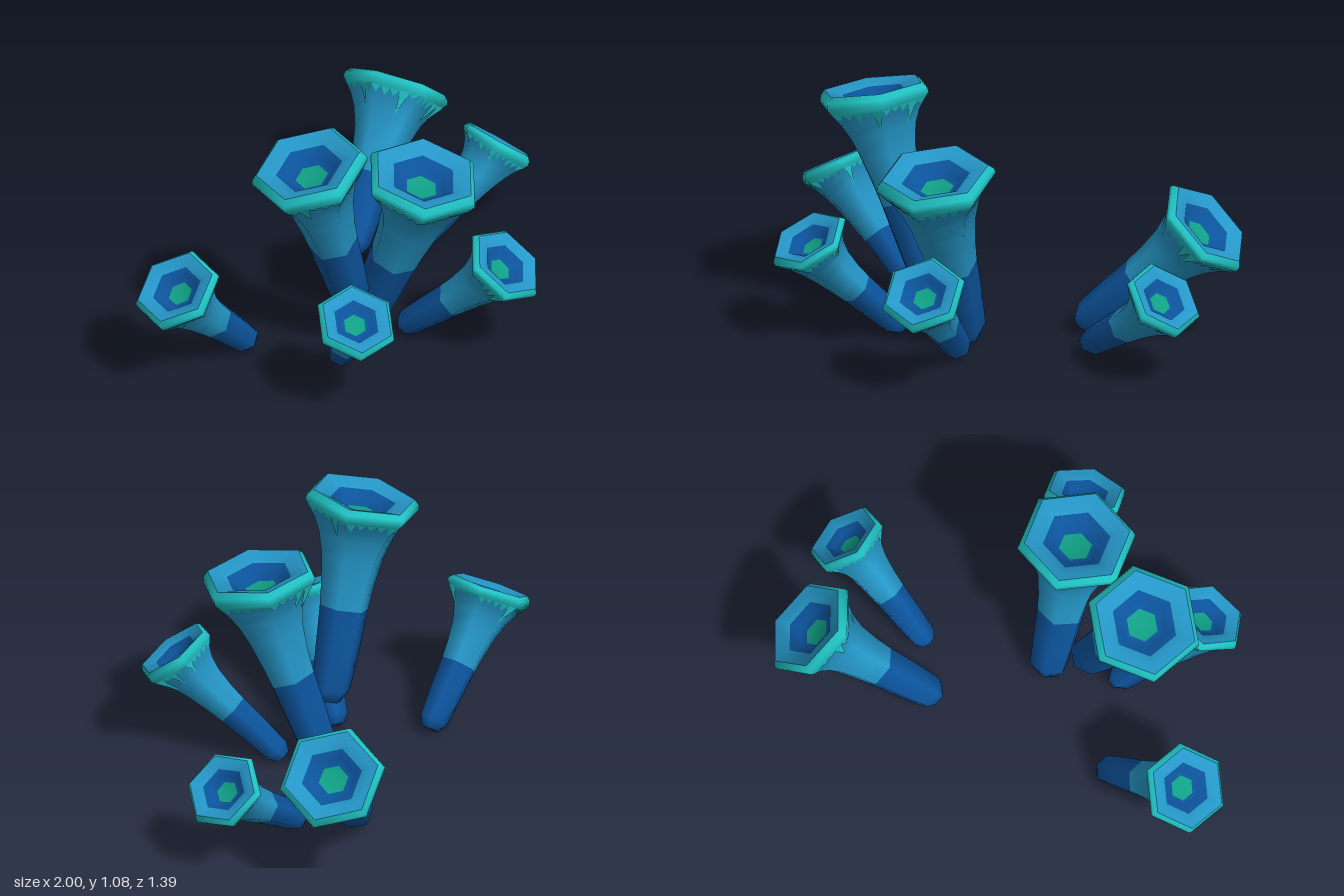
import * as THREE from 'three';

const SIDES = 6;
const paint = (name, hex) => {
  const m = new THREE.MeshStandardMaterial({ color: hex });
  m.name = name;
  return m;
};

// Colour bands with profile points: [fraction along the stalk, radius as a fraction of the rim]
const FLARE = [[0.45, 0.42], [0.56, 0.46], [0.7, 0.54], [0.8, 0.65], [0.87, 0.78], [0.92, 0.92]];
const STALK = [
  ['deepBlue', [[0, 0], [0, 0.2], [0.06, 0.33], [0.25, 0.38], [0.45, 0.42]]],
  ['blue', FLARE],
  ['teal', [[0.92, 0.92], [0.95, 1], [0.975, 0.98], [1, 0.89]]],
];
const MOUTH = [
  ['blue', [[1, 0.89], [0.99, 0.75], [0.972, 0.57]]],
  ['deepBlue', [[0.972, 0.57], [0.935, 0.42], [0.915, 0.28]]],
  ['green', [[0.915, 0.28], [0.915, 0]]],
];

// base point, mouth centre, mouth direction, rim radius, corner angle in degrees
const TUBES = [
  ['tallTube', [-0.17, 0.21, 0.025], [-0.455, 1.025, 0.02], [-0.24, 0.96, -0.1], 0.24, -11],
  ['middleTube', [-0.03, 0.015, -0.03], [0, 0.835, 0.257], [0, 0.98, 0.18], 0.243, 20],
  ['farRightTube', [-0.44, 0.025, -0.29], [-0.86, 0.49, -0.338], [-0.5, 0.86, -0.08], 0.183, -10],
  ['frontRightTube', [-0.29, 0.025, 0.055], [-0.553, 0.46, 0.352], [-0.22, 0.87, 0.42], 0.17, 8],
  ['frontTube', [0.03, 0.025, 0.125], [0.143, 0.46, 0.57], [0.15, 0.8, 0.58], 0.175, 18],
  ['backLeftTube', [0.295, 0.035, -0.36], [0.805, 0.525, -0.52], [0.66, 0.73, -0.17], 0.218, -10],
  ['farLeftTube', [0.44, 0.035, -0.18], [0.895, 0.385, -0.07], [0.65, 0.74, 0.1], 0.168, -30],
];

// Returns ring(s, r): the six corners of a cross-section on the bent axis
function makeRings(base, mouth, dir, radius, degrees) {
  const a = new THREE.Vector3(...base), m = new THREE.Vector3(...mouth);
  const n = new THREE.Vector3(...dir).normalize();
  const axis = new THREE.CubicBezierCurve3(
    a, a.clone().lerp(m, 0.4), m.clone().addScaledVector(n, -0.3 * a.distanceTo(m)), m);
  return (s, r) => {
    const p = axis.getPointAt(s), t = axis.getTangentAt(s);
    const u = new THREE.Vector3(1, 0, 0).addScaledVector(t, -t.x).normalize();
    const v = u.clone().cross(t);
    return Array.from({ length: SIDES }, (_, i) => {
      const angle = THREE.MathUtils.degToRad(degrees) + i * 2 * Math.PI / SIDES;
      return p.clone().addScaledVector(u, Math.cos(angle) * r * radius)
        .addScaledVector(v, Math.sin(angle) * r * radius);
    });
  };
}

// Smooth skin through all bands, one material group per band
function skin(ring, bands) {
  const points = [], index = [], geometry = new THREE.BufferGeometry();
  bands.forEach(([, profile], b) => {
    const start = index.length;
    profile.forEach(([s, r], j) => {
      if (j === 0 && b > 0) return; // shared with the band before
      points.push(...ring(s, r));
      if (j === 0) return;
      const q = points.length - SIDES, p = q - SIDES;
      for (let i = 0; i < SIDES; i++) {
        const k = (i + 1) % SIDES;
        index.push(p + i, q + i, p + k, p + k, q + i, q + k);
      }
    });
    geometry.addGroup(start, index.length - start, b);
  });
  geometry.setFromPoints(points).setIndex(index);
  geometry.computeVertexNormals();
  return geometry;
}

// Thin pointed drips hanging from the rim down the flare
function drips(ring, seed) {
  const points = [], COUNT = 5;
  const radiusAt = (s) => {
    const j = FLARE.findIndex((p) => p[0] >= s);
    const [s0, r0] = FLARE[j - 1], [s1, r1] = FLARE[j];
    return r0 + (r1 - r0) * (s - s0) / (s1 - s0);
  };
  const random = () => (seed = (seed * 16807) % 2147483647) / 2147483647;
  const top = ring(0.922, 0.935);
  for (let i = 0; i < SIDES; i++) {
    const k = (i + 1) % SIDES;
    for (let d = 0; d < COUNT; d++) {
      const s = 0.9 - 0.035 * random() - (random() > 0.88 ? 0.08 : 0);
      const low = ring(s, radiusAt(s) + 0.012);
      const f = d / COUNT, g = (d + 1) / COUNT;
      points.push(top[i].clone().lerp(top[k], f),
        top[i].clone().lerp(top[k], g),
        low[i].clone().lerp(low[k], (f + g) / 2));
    }
  }
  const geometry = new THREE.BufferGeometry().setFromPoints(points);
  geometry.computeVertexNormals();
  return geometry;
}

export function createModel() {
  const materials = {
    blue: paint('blue', 0x2597c8),
    deepBlue: paint('deepBlue', 0x0c549d),
    teal: paint('teal', 0x20c1c3),
    green: paint('green', 0x10a085),
  };
  const model = new THREE.Group();
  model.name = 'tubeCluster';

  TUBES.forEach(([name, ...shape], t) => {
    const tube = new THREE.Group();
    tube.name = name;
    const ring = makeRings(...shape);
    const add = (part, geometry, material) => {
      const mesh = new THREE.Mesh(geometry, material);
      mesh.name = part;
      tube.add(mesh);
    };
    add('stalk', skin(ring, STALK), STALK.map(([color]) => materials[color]));
    add('mouth', skin(ring, MOUTH), MOUTH.map(([color]) => materials[color]));
    add('rimDrips', drips(ring, 1234 + t * 777), materials.teal);
    model.add(tube);
  });
  return model;
}
